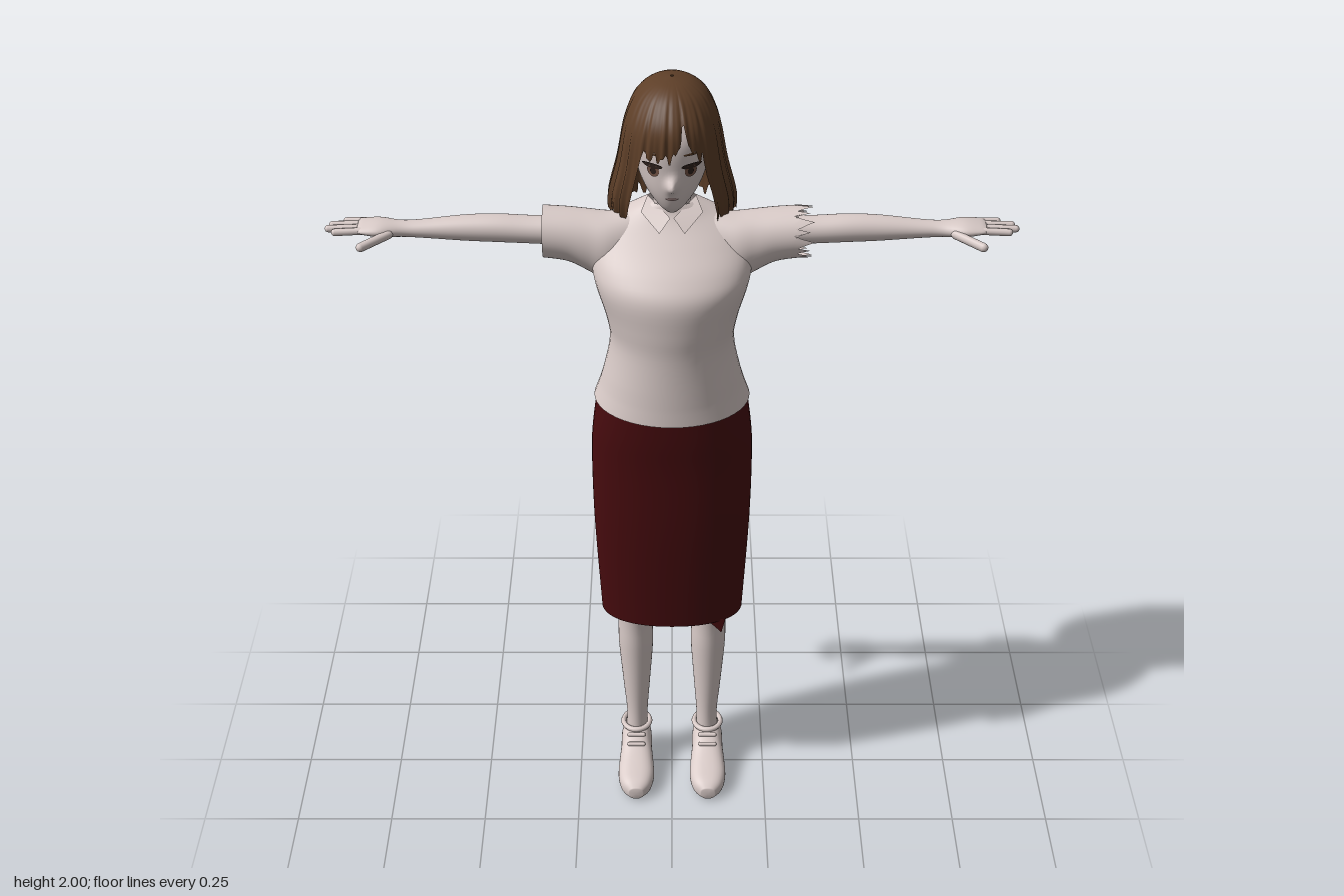
import * as THREE from 'three';

const mat = (name, color, side = THREE.FrontSide) => {
  const m = new THREE.MeshStandardMaterial({ color, side });
  m.name = name;
  return m;
};

// Smoothly subdivides rows of numbers [s, centreA, centreB, radiusA, radiusB]
function dense(keys, steps) {
  const rows = [];
  const at = (i) => keys[Math.min(Math.max(i, 0), keys.length - 1)];
  for (let k = 0; k < keys.length - 1; k++) {
    for (let n = 0; n < steps; n++) {
      const u = n / steps;
      rows.push(keys[k].map((p1, c) => {
        const p0 = at(k - 1)[c], p2 = at(k + 1)[c], p3 = at(k + 2)[c];
        return p1 + 0.5 * u * (p2 - p0 + u * (2 * p0 - 5 * p1 + 4 * p2 - p3 + u * (3 * (p1 - p2) + p3 - p0)));
      }));
    }
  }
  rows.push(keys[keys.length - 1].slice());
  return rows;
}

// Reads a subdivided row list at position s
function sample(rows, s) {
  let i = 0;
  while (i < rows.length - 2 && rows[i + 1][0] < s) i++;
  const [a, b] = [rows[i], rows[i + 1]];
  const u = THREE.MathUtils.clamp((s - a[0]) / (b[0] - a[0]), 0, 1);
  return a.map((v, c) => v + (b[c] - v) * u);
}

function gridGeometry(points, rows, seg, flip, caps = []) {
  const index = [];
  const tri = (a, b, c) => (flip ? index.push(a, c, b) : index.push(a, b, c));
  for (let i = 0; i < rows - 1; i++) {
    for (let j = 0; j < seg; j++) {
      const a = i * seg + j, b = i * seg + (j + 1) % seg;
      tri(a, b, a + seg);
      tri(b, b + seg, a + seg);
    }
  }
  for (const [row, centre] of caps) {
    const c = points.length / 3;
    points.push(...centre);
    for (let j = 0; j < seg; j++) {
      const a = row * seg + j, b = row * seg + (j + 1) % seg;
      row === 0 ? tri(a, c, b) : tri(a, b, c);
    }
  }
  const g = new THREE.BufferGeometry();
  g.setAttribute('position', new THREE.Float32BufferAttribute(points, 3));
  g.setIndex(index);
  g.computeVertexNormals();
  return g;
}

// Elliptical sections along an axis chosen by place(s, a, b) -> [x, y, z]
function loft(keys, place, { seg = 32, steps = 5, power = 2, cap = false, warp } = {}) {
  const rows = dense(keys, steps), pts = [];
  const round = (v) => Math.sign(v) * Math.abs(v) ** (2 / power);
  rows.forEach(([s, ca, cb, ra, rb], i) => {
    for (let j = 0; j < seg; j++) {
      const t = (j / seg) * Math.PI * 2;
      const p = place(s, ca + ra * round(Math.cos(t)), cb + rb * round(Math.sin(t)));
      pts.push(...(warp ? warp(p, i === rows.length - 1, j) : p));
    }
  });
  const [e0, e1, e2] = [[1, 0, 0], [0, 1, 0], [0, 0, 1]].map((e) => new THREE.Vector3(...place(...e)));
  const ends = [0, rows.length - 1].map((r) => [r, place(...rows[r].slice(0, 3))]);
  return gridGeometry(pts, rows.length, seg, e0.dot(e1.cross(e2)) < 0, cap ? ends : []);
}

const upright = (s, a, b) => [a, s, b];

export function createModel() {
  const root = new THREE.Group();
  root.name = 'figure';
  const pale = mat('pale skin', 0xd9cbc8);
  const cloth = mat('pale cloth', 0xd9cbc8, THREE.DoubleSide);
  const red = mat('dark red skirt', 0x470b0e, THREE.DoubleSide);
  const brown = mat('brown hair', 0x5e3f28, THREE.DoubleSide);
  const dark = mat('dark lashes', 0x2e211c, THREE.DoubleSide);
  const iris = mat('brown iris', 0x765546, THREE.DoubleSide);
  const lip = mat('muted lips', 0xa58a88, THREE.DoubleSide);
  const add = (name, geometry, material, parent = root) => {
    const m = new THREE.Mesh(geometry, material);
    m.name = name;
    parent.add(m);
    return m;
  };
  const rod = (name, from, to, r, material) => {
    const a = new THREE.Vector3(...from), d = new THREE.Vector3(...to).sub(a);
    const m = add(name, new THREE.CapsuleGeometry(r, d.length() - r, 4, 10), material);
    m.position.copy(a).addScaledVector(d, 0.5);
    m.quaternion.setFromUnitVectors(new THREE.Vector3(0, 1, 0), d.normalize());
  };

  // Blouse body and skirt
  add('blouse', loft([
    [1.185, 0, 0.025, 0.193, 0.155], [1.25, 0, 0.03, 0.172, 0.147], [1.35, 0, 0.035, 0.152, 0.14],
    [1.42, 0, 0.042, 0.16, 0.137], [1.5, 0, 0.045, 0.183, 0.132], [1.55, 0, 0.03, 0.193, 0.115],
    [1.6, 0, 0.003, 0.19, 0.09], [1.64, 0, -0.015, 0.17, 0.068], [1.67, 0, -0.025, 0.115, 0.055],
    [1.695, 0, -0.025, 0.06, 0.047],
  ], upright, { seg: 48, warp: ([x, y, z]) => [x, y - (y < 1.25 ? (z - 0.025) * 0.07 : 0), z] }), cloth);
  add('skirt', loft([
    [0.52, 0, -0.02, 0.185, 0.114], [0.55, 0, -0.018, 0.187, 0.115], [0.8, 0, -0.005, 0.2, 0.125],
    [1.0, 0, 0.005, 0.203, 0.126], [1.1, 0, 0.012, 0.198, 0.127], [1.21, 0, 0.018, 0.183, 0.126],
  ], upright, { seg: 48, power: 2.2 }), red);
  const tear = new THREE.Shape([[0.09, 0.525], [0.13, 0.483], [0.14, 0.525]].map((p) => new THREE.Vector2(...p)));
  add('skirtTear', new THREE.ShapeGeometry(tear), red).position.z = 0.068;

  // Neck and head
  add('neck', new THREE.CylinderGeometry(0.042, 0.05, 0.15, 24).translate(0, 1.675, -0.025), pale);
  const headKeys = [
    [1.692, 0, 0.03, 0.016, 0.026], [1.712, 0, 0.018, 0.038, 0.058], [1.75, 0, 0, 0.066, 0.09],
    [1.8, 0, -0.018, 0.086, 0.114], [1.88, 0, -0.022, 0.099, 0.12], [1.95, 0, -0.025, 0.065, 0.085],
  ];
  const nose = (x, y) => 0.028 * Math.exp(-((x / 0.012) ** 2) - ((y - 1.777) / 0.017) ** 2);
  add('head', loft(headKeys, upright, {
    seg: 72, steps: 8, cap: true, warp: ([x, y, z]) => [x, y, z > 0 ? z + nose(x, y) : z],
  }), pale);

  // Face details laid on the curve of the head
  const headRows = dense(headKeys, 8);
  const decal = (name, x, y, w, h, material, lift) => {
    const g = new THREE.CircleGeometry(1, 20).scale(w, h, 1).translate(x, y, 0);
    const p = g.attributes.position;
    for (let i = 0; i < p.count; i++) {
      const [, , cz, rx, rz] = sample(headRows, p.getY(i));
      p.setZ(i, cz + rz * Math.sqrt(Math.max(0, 1 - (p.getX(i) / rx) ** 2)) + lift);
    }
    g.computeVertexNormals();
    add(name, g, material);
  };
  for (const s of [-1, 1]) {
    decal('lash', s * 0.046, 1.826, 0.024, 0.007, dark, 0.004);
    decal('iris', s * 0.044, 1.813, 0.014, 0.016, iris, 0.003);
    decal('pupil', s * 0.044, 1.813, 0.007, 0.009, dark, 0.005);
    decal('eyebrow', s * 0.046, 1.856, 0.02, 0.003, brown, 0.003);
  }
  decal('mouth', 0, 1.742, 0.016, 0.004, lip, 0.003);

  // Bobbed hair: one rippled shell with a fringe and ragged ends
  const hairRows = dense([
    [1.63, 0, -0.065, 0.148, 0.108], [1.7, 0, -0.05, 0.152, 0.126], [1.8, 0, -0.033, 0.13, 0.137],
    [1.9, 0, -0.022, 0.112, 0.134], [1.96, 0, -0.03, 0.086, 0.107], [1.99, 0, -0.033, 0.048, 0.064],
    [2.0, 0, -0.033, 0.004, 0.004],
  ], 8);
  const seg = 192, levels = 36, hair = [];
  for (let i = 0; i < levels; i++) {
    const t = i / (levels - 1);
    for (let j = 0; j < seg; j++) {
      const a = (j / seg) * Math.PI * 2 - Math.PI;
      const fringe = 1.85 + 0.065 * Math.exp(-(((a - 0.25) / 0.13) ** 2));
      const jag = 0.011 * Math.sin(a * 31) + 0.008 * Math.sin(a * 53 + 1);
      const bottom = THREE.MathUtils.lerp(fringe, 1.657, THREE.MathUtils.smoothstep(Math.abs(a), 0.62, 0.8)) + jag;
      const y = 2 - (2 - bottom) * t ** 1.6;
      const [, , cz, rx, rz] = sample(hairRows, y);
      const r = 1 + t * (0.018 * Math.sin(a * 26) + 0.014 * Math.sin(a * 41 + 2));
      hair.push(rx * r * Math.sin(a), y, cz + rz * r * Math.cos(a));
    }
  }
  add('hair', gridGeometry(hair, levels, seg, true), brown);

  for (const side of [-1, 1]) {
    const across = (s, a, b) => [side * s, a, b];
    const label = side > 0 ? 'left' : 'right';

    // Collar flap
    const flap = [[0.004, 1.672, 0.045], [0.03, 1.643, 0.07], [0.074, 1.678, 0.022], [0.058, 1.705, -0.015]];
    const collar = new THREE.BufferGeometry();
    collar.setAttribute('position', new THREE.Float32BufferAttribute(flap.flatMap(([x, y, z]) => [side * x, y, z]), 3));
    collar.setIndex(side > 0 ? [0, 1, 2, 0, 2, 3] : [0, 2, 1, 0, 3, 2]);
    collar.computeVertexNormals();
    add(label + 'Collar', collar, cloth);

    // Sleeve, with a ragged cuff on the left
    add(label + 'Sleeve', loft([
      [0.09, 1.585, -0.012, 0.085, 0.06], [0.15, 1.576, -0.005, 0.089, 0.07], [0.2, 1.591, -0.008, 0.077, 0.068],
      [0.25, 1.606, -0.01, 0.066, 0.066], [0.31, 1.613, -0.01, 0.063, 0.065],
    ], across, {
      seg: 48,
      warp: ([x, y, z], last, j) => [side > 0 && last ? x + [0.03, 0.01, -0.015, 0.02, -0.02, 0][j % 6] : x, y, z],
    }), cloth);

    // Arm, palm, fingers and thumb
    add(label + 'Arm', loft([
      [0.18, 1.613, -0.015, 0.04, 0.04], [0.32, 1.613, -0.018, 0.034, 0.037], [0.42, 1.617, -0.019, 0.034, 0.036],
      [0.5, 1.617, -0.02, 0.031, 0.033], [0.6, 1.616, -0.018, 0.022, 0.026], [0.65, 1.617, -0.016, 0.019, 0.026],
      [0.7, 1.621, -0.014, 0.019, 0.041], [0.74, 1.622, -0.017, 0.013, 0.041], [0.755, 1.622, -0.018, 0.008, 0.036],
    ], across, { cap: true }), pale);
    [[-0.051, 0.79], [-0.03, 0.822], [-0.007, 0.83], [0.014, 0.812]].forEach(([z, tip]) =>
      rod(label + 'Finger', [side * 0.73, 1.622, z * 0.85 - 0.003], [side * tip, 1.62, z], 0.009, pale));
    rod(label + 'Thumb', [side * 0.675, 1.616, 0.012], [side * 0.745, 1.606, 0.072], 0.011, pale);

    // Leg
    add(label + 'Leg', loft([
      [0.08, 0.096, -0.036, 0.03, 0.036], [0.15, 0.095, -0.036, 0.028, 0.035], [0.25, 0.096, -0.038, 0.036, 0.042],
      [0.38, 0.097, -0.043, 0.046, 0.054], [0.5, 0.098, -0.042, 0.047, 0.06], [0.75, 0.095, -0.015, 0.068, 0.075],
    ], (s, a, b) => [side * a, s, b], { cap: true }), pale);

    // Shoe with ankle rim and laces
    add(label + 'Shoe', loft([
      [-0.086, 0.097, 0.05, 0.018, 0.03], [-0.076, 0.097, 0.056, 0.032, 0.054], [-0.03, 0.097, 0.058, 0.041, 0.058],
      [0.02, 0.097, 0.052, 0.042, 0.052], [0.06, 0.097, 0.041, 0.046, 0.041], [0.11, 0.097, 0.032, 0.048, 0.032],
      [0.15, 0.097, 0.026, 0.038, 0.026], [0.172, 0.097, 0.021, 0.018, 0.016],
    ], (s, a, b) => [side * a, Math.max(b, 0), s], { cap: true, power: 2.6 }), pale);
    const rim = add(label + 'ShoeRim', new THREE.TorusGeometry(0.036, 0.007, 8, 28), pale);
    rim.position.set(side * 0.097, 0.112, -0.034);
    rim.rotation.x = Math.PI / 2;
    rim.scale.y = 1.15;
    for (const [y, z] of [[0.104, 0.02], [0.091, 0.045]]) {
      rod(label + 'Lace', [side * 0.075, y, z], [side * 0.119, y, z], 0.006, pale);
    }
  }
  return root;
}
